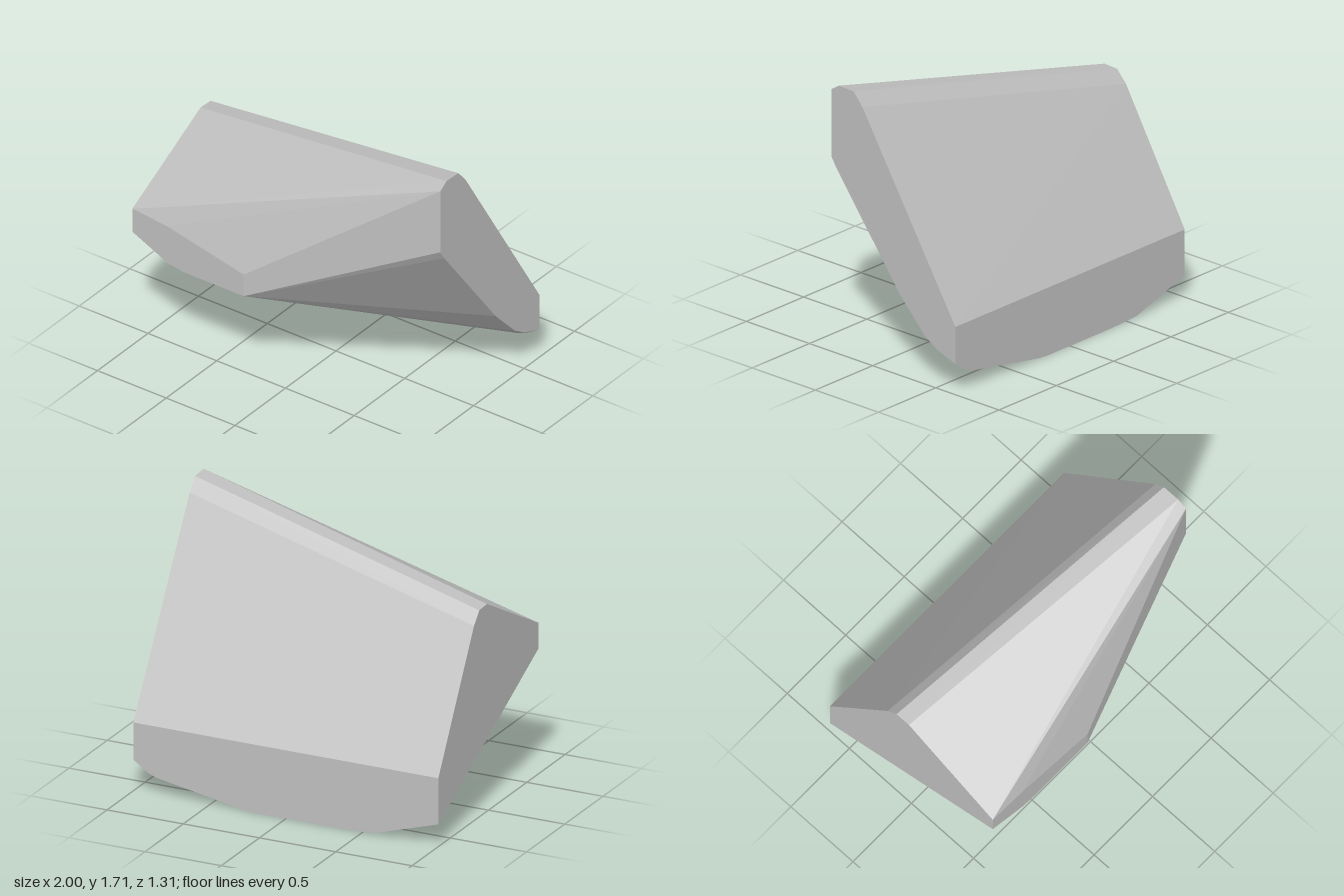
import * as THREE from 'three';
import { ConvexGeometry } from 'three/addons/geometries/ConvexGeometry.js';

export function createModel() {
  const group = new THREE.Group();
  group.name = 'facetedWedge';
  const grey = new THREE.MeshStandardMaterial({ color: 0xbfbfbf });
  grey.name = 'plain grey';

  // Right end, outline as [z, y]
  const rightEnd = [
    [0.327, 1.665], [0.265, 1.705], [0.15, 1.7], [0.08, 1.62], [-0.655, 0.43],
    [-0.655, 0.195], [-0.51, 0.245], [-0.41, 0.31], [-0.22, 0.51], [0.29, 1.18], [0.327, 1.24],
  ];
  // Left end, outline as [z, y]
  const leftEnd = [
    [0.655, 0.95], [-0.02, 1.305], [-0.12, 1.3], [-0.19, 1.225],
    [-0.655, 0.43], [-0.655, 0.14], [0.655, 0.79],
  ];
  // Front face, outline as [x, y]
  const frontFace = [
    [-0.75, 0.925], [-0.19, 0.8], [-0.19, 0.65], [-0.63, 0.65], [-0.74, 0.668],
  ];
  // Lower edge of the back face as [x, y]
  const backEdge = [
    [-0.58, 0.01], [-0.37, 0], [0.2, 0], [0.28, 0.007], [0.85, 0.108], [0.9, 0.128],
  ];

  // The solid body spans all four outlines
  const points = [
    ...rightEnd.map(([z, y]) => new THREE.Vector3(1, y, z)),
    ...leftEnd.map(([z, y]) => new THREE.Vector3(-1, y, z)),
    ...frontFace.map(([x, y]) => new THREE.Vector3(x, y, 0.655)),
    ...backEdge.map(([x, y]) => new THREE.Vector3(x, y, -0.655)),
  ];
  const body = new THREE.Mesh(new ConvexGeometry(points), grey);
  body.name = 'wedgeBody';
  group.add(body);
  return group;
}
